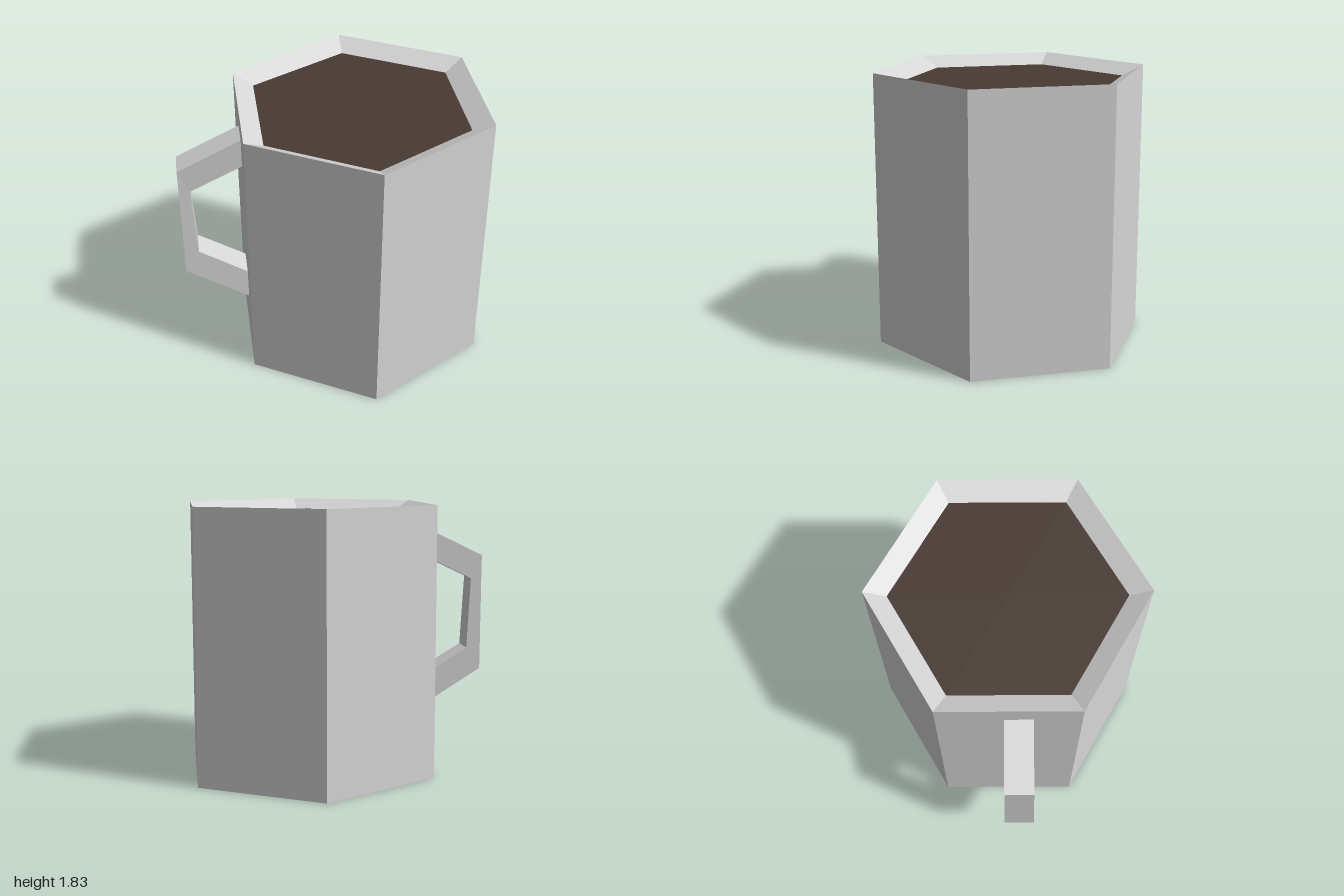
import * as THREE from 'three';

export function createModel() {
  const model = new THREE.Group();
  const ceramic = new THREE.MeshStandardMaterial({ color: 0xd6d6d6, flatShading: true });
  ceramic.name = 'light grey ceramic';
  const brown = new THREE.MeshStandardMaterial({ color: 0x483a33, flatShading: true });
  brown.name = 'dark brown';

  const add = (name, geometry, material) => {
    const mesh = new THREE.Mesh(geometry, material);
    mesh.name = name;
    model.add(mesh);
    return mesh;
  };

  const centreX = 0.21, radius = 0.91, height = 1.825;
  const drinkRadius = 0.762, drinkY = height - 0.07;

  // Six-sided cup: base, outer wall and sloping inner rim
  const profile = [[0, 0], [radius, 0], [radius, height], [drinkRadius, drinkY]]
    .map(([r, y]) => new THREE.Vector2(r, y));
  add('cup', new THREE.LatheGeometry(profile, 6), ceramic).position.x = centreX;

  // Drink surface, corners aligned with the cup
  const surface = new THREE.CircleGeometry(drinkRadius, 6, Math.PI / 2);
  surface.rotateX(-Math.PI / 2);
  add('drink', surface, brown).position.set(centreX, drinkY, 0);

  // Angular handle, slightly thicker toward the bottom at the front
  const wallX = -0.575;
  const outline = [
    [wallX, 1.666], [-1, 1.46], [-0.997, 0.66], [wallX, 0.4],
    [wallX, 0.61], [-0.9, 0.81], [-0.925, 1.3], [wallX, 1.467],
  ].map(([x, y]) => new THREE.Vector2(x, y));
  const handle = new THREE.ExtrudeGeometry(new THREE.Shape(outline), {
    depth: 0.185, bevelEnabled: false,
  });
  handle.translate(0, 0, -0.03);
  const p = handle.attributes.position;
  for (let i = 0; i < p.count; i++) {
    if (p.getZ(i) > 0) p.setZ(i, p.getZ(i) + 0.045 * Math.max(0, 1 - p.getY(i)));
  }
  handle.computeVertexNormals();
  add('handle', handle, ceramic);

  return model;
}
